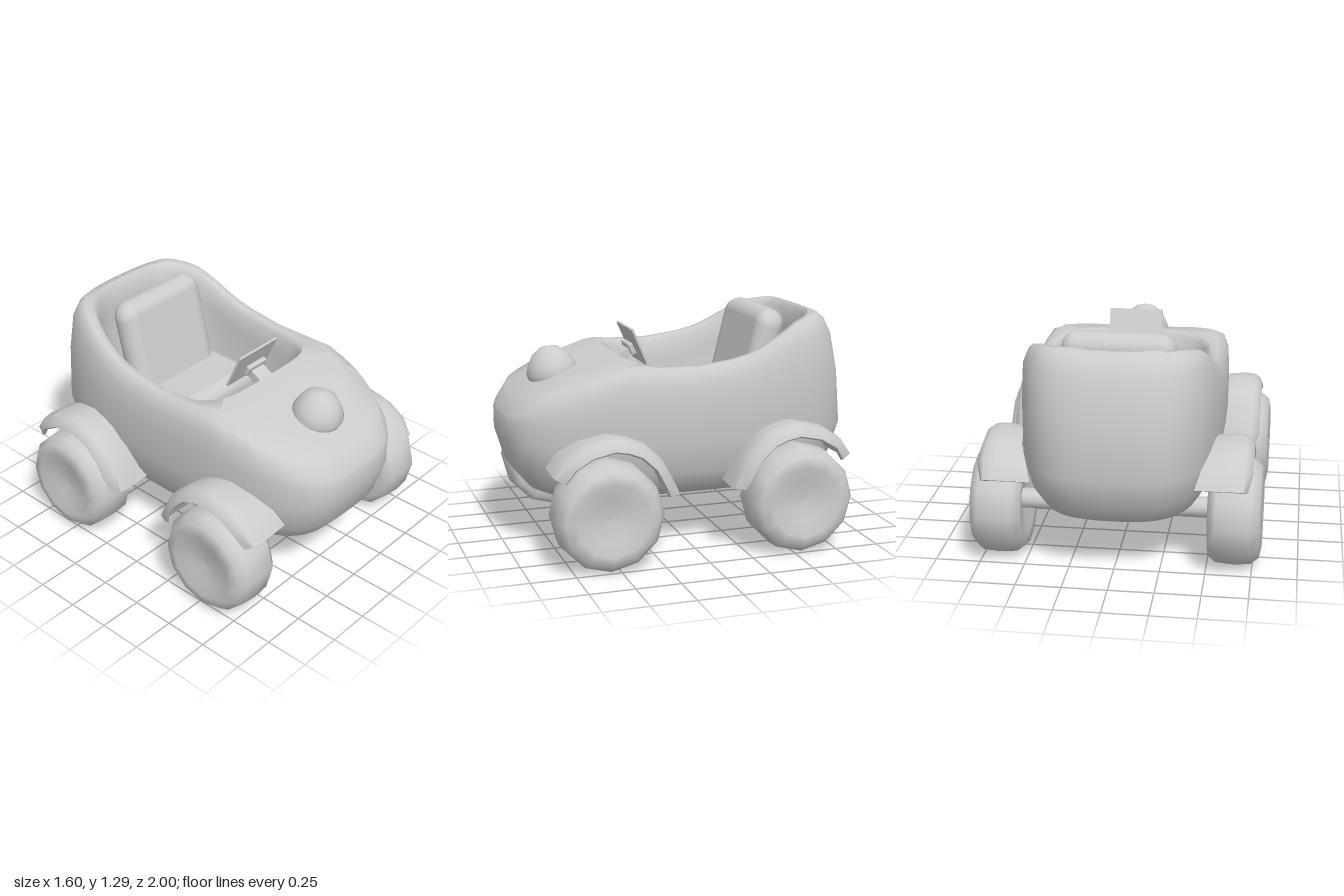
import * as THREE from 'three';
import { toCreasedNormals } from 'three/addons/utils/BufferGeometryUtils.js';
import { RoundedBoxGeometry } from 'three/addons/geometries/RoundedBoxGeometry.js';

const grey = new THREE.MeshStandardMaterial({ color: 0xcccccc });
grey.name = 'plain grey';

function part(name, geometry, x = 0, y = 0, z = 0, rx = 0) {
  const mesh = new THREE.Mesh(geometry, grey);
  mesh.name = name;
  mesh.position.set(x, y, z);
  mesh.rotation.x = rx;
  return mesh;
}

// Closed skin over a list of closed rings, capped at both ends and turned outwards.
function loft(rings, crease) {
  const n = rings[0].length, pos = [], index = [];
  rings.forEach((ring) => ring.forEach((p) => pos.push(...p)));
  for (let r = 0; r < rings.length - 1; r++) {
    for (let i = 0; i < n; i++) {
      const a = r * n + i, b = r * n + (i + 1) % n;
      index.push(a, b, a + n, b, b + n, a + n);
    }
  }
  [0, rings.length - 1].forEach((r) => {
    const c = pos.length / 3;
    for (let k = 0; k < 3; k++) pos.push(rings[r].reduce((s, p) => s + p[k], 0) / n);
    for (let i = 0; i < n; i++) {
      const a = r * n + i, b = r * n + (i + 1) % n;
      if (r === 0) index.push(c, b, a); else index.push(c, a, b);
    }
  });
  const v = (i) => new THREE.Vector3(pos[3 * i], pos[3 * i + 1], pos[3 * i + 2]);
  let volume = 0;
  for (let i = 0; i < index.length; i += 3) {
    volume += v(index[i]).dot(v(index[i + 1]).cross(v(index[i + 2])));
  }
  if (volume < 0) index.reverse();
  const g = new THREE.BufferGeometry();
  g.setAttribute('position', new THREE.Float32BufferAttribute(pos, 3));
  g.setIndex(index);
  return toCreasedNormals(g, crease);
}

// Height of the hood and cockpit rim along z.
const TOP = [[-1, 1.2], [-0.88, 1.25], [-0.78, 1.275], [-0.62, 1.24], [-0.5, 1.175], [-0.4, 1.12],
  [-0.3, 1.08], [-0.1, 1.04], [0.15, 1.035], [0.35, 1.06], [0.6, 1.0], [0.88, 0.91], [1, 0.86]];
function topY(z) {
  const i = Math.max(1, TOP.findIndex((p) => p[0] >= z));
  const [a, b] = [TOP[i - 1], TOP[i]];
  return THREE.MathUtils.lerp(a[1], b[1], THREE.MathUtils.clamp((z - a[0]) / (b[0] - a[0]), 0, 1));
}

function bodyGeometry() {
  const pw = (v, e) => Math.sign(v) * Math.abs(v) ** e;
  const angles = Array.from({ length: 64 }, (_, i) => (i / 64) * Math.PI * 2);
  // Outer plan outline, slightly narrower at the nose
  const outer = (sx, front, back, height) => angles.map((a) => {
    const e = Math.sin(a) > 0 ? 0.57 : 0.62;
    const z = pw(Math.sin(a), e);
    const x = 0.555 * pw(Math.cos(a), e) * (z > 0 ? 1 - 0.09 * z * z : 1) * sx;
    const zz = z * (z > 0 ? front : back);
    return [x, height(zz), zz];
  });
  const shoulder = outer(0.95, 0.93, 0.89, (z) => topY(z) - 0.025);
  // Cockpit opening on rays towards the shoulder: squarer at the dashboard, rounder behind
  const opening = (grow, height) => shoulder.map(([x, , z]) => {
    const a = Math.atan2(z + 0.235, x);
    const n = a > 0 ? 4.5 : 2.8;
    const r = (Math.abs(Math.cos(a) / (0.435 + grow)) ** n
      + Math.abs(Math.sin(a) / (0.545 + grow)) ** n) ** (-1 / n);
    const zz = -0.235 + r * Math.sin(a);
    return [r * Math.cos(a), height(zz), zz];
  });
  const rim = opening(0.025, topY);
  const hood = shoulder.map((p, i) => {
    const z = p[2] * 0.6 + rim[i][2] * 0.4;
    return [p[0] * 0.6 + rim[i][0] * 0.4, topY(z), z];
  });
  return loft([
    outer(0.7, 0.78, 0.78, () => 0.3),
    outer(0.83, 0.86, 0.86, () => 0.34),
    outer(0.93, 0.95, 0.95, () => 0.45),
    outer(1, 1, 1, () => 0.62),
    outer(1.005, 1, 0.975, (z) => 0.62 + (topY(z) - 0.62) * 0.5),
    outer(0.995, 0.99, 0.93, (z) => topY(z) - 0.1),
    shoulder, hood, rim,
    // Bowl-shaped cockpit
    opening(0, (z) => topY(z) - 0.03),
    opening(-0.005, (z) => topY(z) - 0.15),
    opening(-0.025, () => 0.7),
    opening(-0.06, () => 0.55),
    opening(-0.13, () => 0.46),
    opening(-0.24, () => 0.43),
  ], 0.9);
}

// Mudguard: a lipped strip swept over the wheel; side = +-1 in x, end = +-1 in z.
function fenderGeometry(side, end) {
  // z, y and inner x along the arc
  const path = [[0.15, 0.39, 0.47], [0.19, 0.48, 0.5], [0.25, 0.59, 0.53], [0.35, 0.68, 0.53],
    [0.44, 0.715, 0.53], [0.53, 0.73, 0.53], [0.68, 0.695, 0.51], [0.79, 0.625, 0.47], [0.85, 0.535, 0.44]];
  return loft(path.map(([z, y, inner], i) => {
    const lip = i % 8 === 0 ? 0.72 : 0.745;
    const section = [[inner, -0.015], [0.64, 0], [0.7, -0.008], [lip - 0.015, -0.03], [lip, -0.065],
      [lip - 0.015, -0.075], [0.69, -0.05], [0.64, -0.045], [inner, -0.05]];
    const dz = z - 0.5, dy = y - 0.36, r = Math.hypot(dz, dy);
    return section.map(([x, d]) => [x * side, 0.36 + dy * (1 + d / r), end * (0.5 + dz * (1 + d / r))]);
  }), 0.8);
}

// Fat tyre with a dished outer face, axis along x
function wheelGeometry(side) {
  const profile = [[0, -0.1], [0.2, -0.14], [0.26, -0.145], [0.295, -0.1], [0.303, 0], [0.295, 0.09],
    [0.26, 0.135], [0.2, 0.148], [0.12, 0.115], [0, 0.105]];
  const g = new THREE.LatheGeometry(profile.map((p) => new THREE.Vector2(...p)), 12);
  return g.rotateZ(-side * Math.PI / 2);
}

// Backrest with shoulders that drop and wrap forward
function seatBackGeometry() {
  const g = new RoundedBoxGeometry(0.62, 0.66, 0.17, 4, 0.083);
  const p = g.attributes.position;
  for (let i = 0; i < p.count; i++) {
    const bend = p.getX(i) ** 2;
    if (p.getY(i) > 0) p.setY(i, p.getY(i) - 0.4 * bend);
    p.setZ(i, p.getZ(i) + 0.3 * bend);
  }
  return g;
}

export function createModel() {
  const car = new THREE.Group();
  car.name = 'toyCar';
  car.add(part('body', bodyGeometry()));

  // Seat
  car.add(part('seatCushion', new RoundedBoxGeometry(0.74, 0.28, 0.46, 4, 0.08), 0, 0.65, -0.28));
  car.add(part('seatBack', seatBackGeometry(), 0, 0.985, -0.495, -0.24));

  // Dashboard screen on its bracket
  car.add(part('windscreen', new THREE.BoxGeometry(0.31, 0.23, 0.012), 0, 1.095, 0.21, 0.42));
  car.add(part('bracketStem', new THREE.BoxGeometry(0.1, 0.05, 0.12), 0, 1.04, 0.265, 0.5));
  car.add(part('bracketHead', new RoundedBoxGeometry(0.15, 0.07, 0.03, 2, 0.01), 0, 1.075, 0.235, 0.42));

  // Domed lamp on the hood
  const dome = [[0, -0.09], [0.09, -0.08], [0.135, -0.045], [0.148, 0], [0.13, 0.05], [0.1, 0.1],
    [0.055, 0.135], [0, 0.147]].map((p) => new THREE.Vector2(...p));
  car.add(part('hoodLamp', new THREE.LatheGeometry(dome, 16), 0, 0.965, 0.685, 0.15));

  // Running gear
  for (const [end, z] of [[1, 0.555], [-1, -0.54]]) {
    const axle = new THREE.CylinderGeometry(0.057, 0.057, 1.08, 14).rotateZ(Math.PI / 2);
    car.add(part(end > 0 ? 'frontAxle' : 'rearAxle', axle, 0, 0.307, z));
    for (const side of [1, -1]) {
      const label = (end > 0 ? 'front' : 'rear') + (side > 0 ? 'Left' : 'Right');
      car.add(part(label + 'Wheel', wheelGeometry(side), side * 0.652, 0.302, z));
      car.add(part(label + 'Fender', fenderGeometry(side, end)));
    }
  }
  return car;
}
